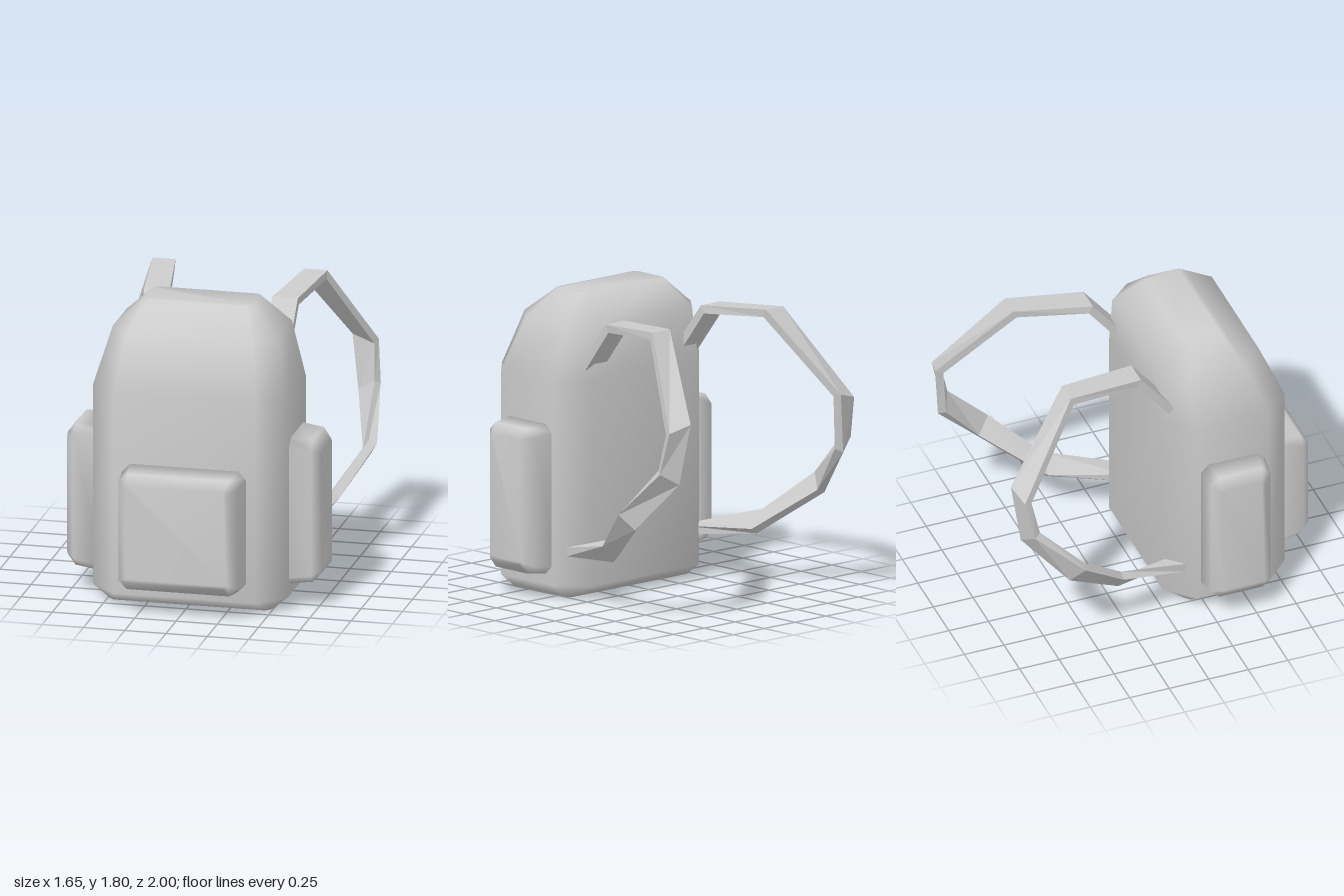
import * as THREE from 'three';

const grey = new THREE.MeshStandardMaterial({ color: 0xcccccc });
const V = (x, y, z) => new THREE.Vector3(x, y, z);

// Closed skin over a list of rings with equal point counts, capped at both ends.
function loft(rings, flat = false) {
  const n = rings[0].length, index = [];
  const positions = rings.flat().flatMap((p) => [p.x, p.y, p.z]);
  for (let i = 0; i < rings.length - 1; i++) {
    for (let j = 0; j < n; j++) {
      const a = i * n + j, b = i * n + (j + 1) % n;
      index.push(a, b, b + n, a, b + n, a + n);
    }
  }
  const last = (rings.length - 1) * n;
  for (let j = 1; j < n - 1; j++) {
    index.push(0, j + 1, j, last, last + j, last + j + 1);
  }
  let geo = new THREE.BufferGeometry();
  geo.setAttribute('position', new THREE.Float32BufferAttribute(positions, 3));
  geo.setIndex(index);
  if (flat) geo = geo.toNonIndexed();
  geo.computeVertexNormals();
  return geo;
}

// Rectangle with cut corners in the plane z, counter-clockwise.
function cutRect(z, hw, y0, y1, cx, cy) {
  return [
    V(hw, y0 + cy, z), V(hw, y1 - cy, z), V(hw - cx, y1, z), V(cx - hw, y1, z),
    V(-hw, y1 - cy, z), V(-hw, y0 + cy, z), V(cx - hw, y0, z), V(hw - cx, y0, z),
  ];
}

function addMesh(parent, name, geo) {
  const mesh = new THREE.Mesh(geo, grey);
  mesh.name = name;
  parent.add(mesh);
  return mesh;
}

// Pocket rising along +z from a base, with a bevelled front.
function pocketGeometry(base, depth, hw, y0, y1) {
  return loft([
    cutRect(base, hw, y0, y1, 0.05, 0.05),
    cutRect(depth - 0.05, hw - 0.02, y0 + 0.02, y1 - 0.02, 0.05, 0.05),
    cutRect(depth, hw - 0.075, y0 + 0.075, y1 - 0.08, 0.02, 0.02),
  ]);
}

// Strap stations: outer edge and inner edge of the ribbon's outside face.
const strapStations = [
  [V(0.46, 1.41, 0.10), V(0.31, 1.41, 0.10)],
  [V(0.465, 1.685, -0.12), V(0.31, 1.685, -0.12)],
  [V(0.53, 1.72, -0.59), V(0.39, 1.72, -0.59)],
  [V(0.75, 1.20, -0.965), V(0.61, 1.24, -1.0)],
  [V(0.775, 0.95, -0.91), V(0.665, 0.88, -0.96)],
  [V(0.825, 0.67, -0.61), V(0.77, 0.58, -0.69)],
  [V(0.67, 0.41, -0.31), V(0.58, 0.30, -0.31)],
  [V(0.54, 0.26, 0.13), V(0.42, 0.25, 0.13)],
];

function strapGeometry(side) {
  const mid = strapStations.map(([o, i]) => o.clone().add(i).multiplyScalar(0.5));
  const last = mid.length - 1;
  const rings = strapStations.map(([o, i], k) => {
    // Thickness direction points to the inside of the loop.
    const before = mid[k].clone().sub(mid[Math.max(k - 1, 0)]).normalize();
    const after = mid[Math.min(k + 1, last)].clone().sub(mid[k]).normalize();
    const inward = before.add(after).cross(o.clone().sub(i)).normalize().multiplyScalar(0.052);
    const ring = [o, o.clone().add(inward), i.clone().add(inward), i]
      .map((p) => V(p.x * side, p.y, p.z));
    return side < 0 ? ring.reverse() : ring;
  });
  return loft(rings, true);
}

export function createModel() {
  const group = new THREE.Group();
  group.name = 'backpack';

  // Main bag: height, half width, front z, back z, corner cuts
  const sections = [
    [0, 0.49, 0.67, 0.16, 0.03, 0.03],
    [0.08, 0.59, 0.80, 0.03, 0.16, 0.16],
    [1.31, 0.59, 0.80, 0.03, 0.16, 0.16],
    [1.64, 0.50, 0.66, 0.03, 0.12, 0.14],
    [1.80, 0.33, 0.46, 0.20, 0.03, 0.03],
  ];
  const body = loft(sections.map(([y, hw, front, back, cx, cz]) =>
    cutRect(y, hw, -front, -back, cx, cz)));
  addMesh(group, 'mainBag', body.rotateX(-Math.PI / 2));

  addMesh(group, 'frontPocket', pocketGeometry(0.76, 1.0, 0.38, 0.14, 0.89));

  for (const [side, label] of [[1, 'left'], [-1, 'right']]) {
    const pocket = addMesh(group, label + 'SidePocket',
      pocketGeometry(0.55, 0.77, 0.208, 0.14, 1.05).rotateY(side * Math.PI / 2));
    pocket.position.z = 0.412;
    addMesh(group, label + 'ShoulderStrap', strapGeometry(side));
  }
  return group;
}
